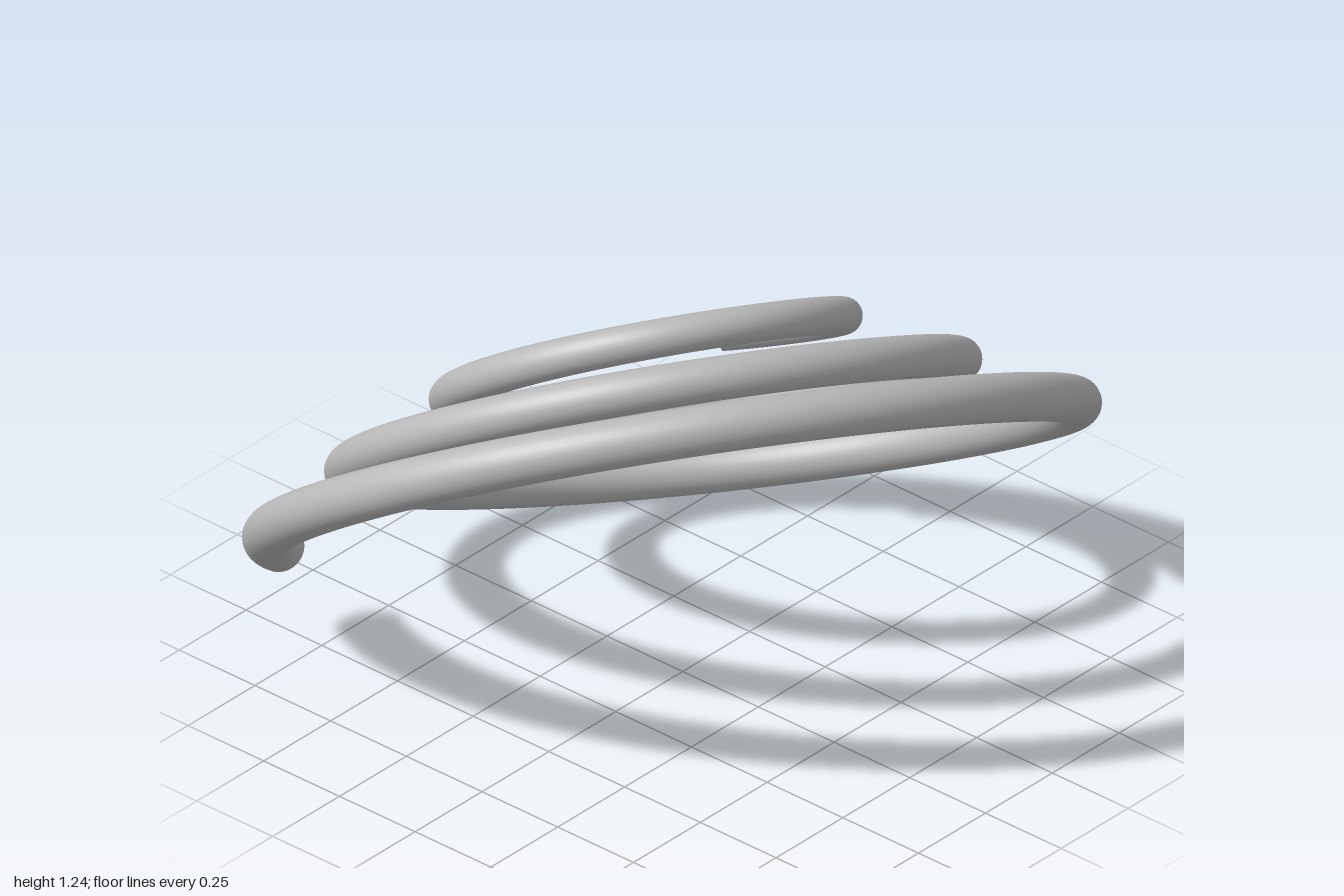
import * as THREE from 'three';

const TURNS = 2.726;
const START_ANGLE = THREE.MathUtils.degToRad(-154);

// Tilted cone axis and two directions across it
const axis = new THREE.Vector3(-0.49, 0.79, -0.36).normalize();
const across = new THREE.Vector3(1, 0, 0).addScaledVector(axis, -axis.x).normalize();
const along = new THREE.Vector3().crossVectors(axis, across);
const base = new THREE.Vector3(-0.0145, 0.53, -0.047);

// Conical spiral that narrows steadily as it climbs the axis
class ConeSpiral extends THREE.Curve {
  getPoint(t, target = new THREE.Vector3()) {
    const turn = t * TURNS;
    const angle = START_ANGLE + turn * Math.PI * 2;
    const ease = Math.max(0, 1 - turn / 0.3); // outer end tucks in slightly
    const radius = 1.119 - 0.273 * turn - 0.07 * ease * ease;
    return target.copy(base)
      .addScaledVector(axis, 0.145 * turn)
      .addScaledVector(across, radius * Math.cos(angle))
      .addScaledVector(along, radius * Math.sin(angle));
  }
}

// Round tube whose thickness shrinks from the outer end to the inner end
function taperedTube(curve, steps, sides, r0, r1) {
  curve.arcLengthDivisions = 1000;
  const geometry = new THREE.TubeGeometry(curve, steps, 1, sides, false);
  const pos = geometry.attributes.position;
  const v = new THREE.Vector3();
  for (let i = 0; i <= steps; i++) {
    const t = curve.getUtoTmapping(i / steps);
    const center = curve.getPoint(t);
    const r = THREE.MathUtils.lerp(r0, r1, t);
    for (let j = 0; j <= sides; j++) {
      const k = i * (sides + 1) + j;
      v.fromBufferAttribute(pos, k).sub(center).multiplyScalar(r).add(center);
      pos.setXYZ(k, v.x, v.y, v.z);
    }
  }
  return geometry;
}

export function createModel() {
  const group = new THREE.Group();
  group.name = 'spiralCoil';

  // Open-ended coil
  const grey = new THREE.MeshStandardMaterial({ color: 0xb8b8b8, side: THREE.DoubleSide });
  grey.name = 'grey';
  const coil = new THREE.Mesh(taperedTube(new ConeSpiral(), 320, 32, 0.065, 0.045), grey);
  coil.name = 'coilTube';
  group.add(coil);
  return group;
}
